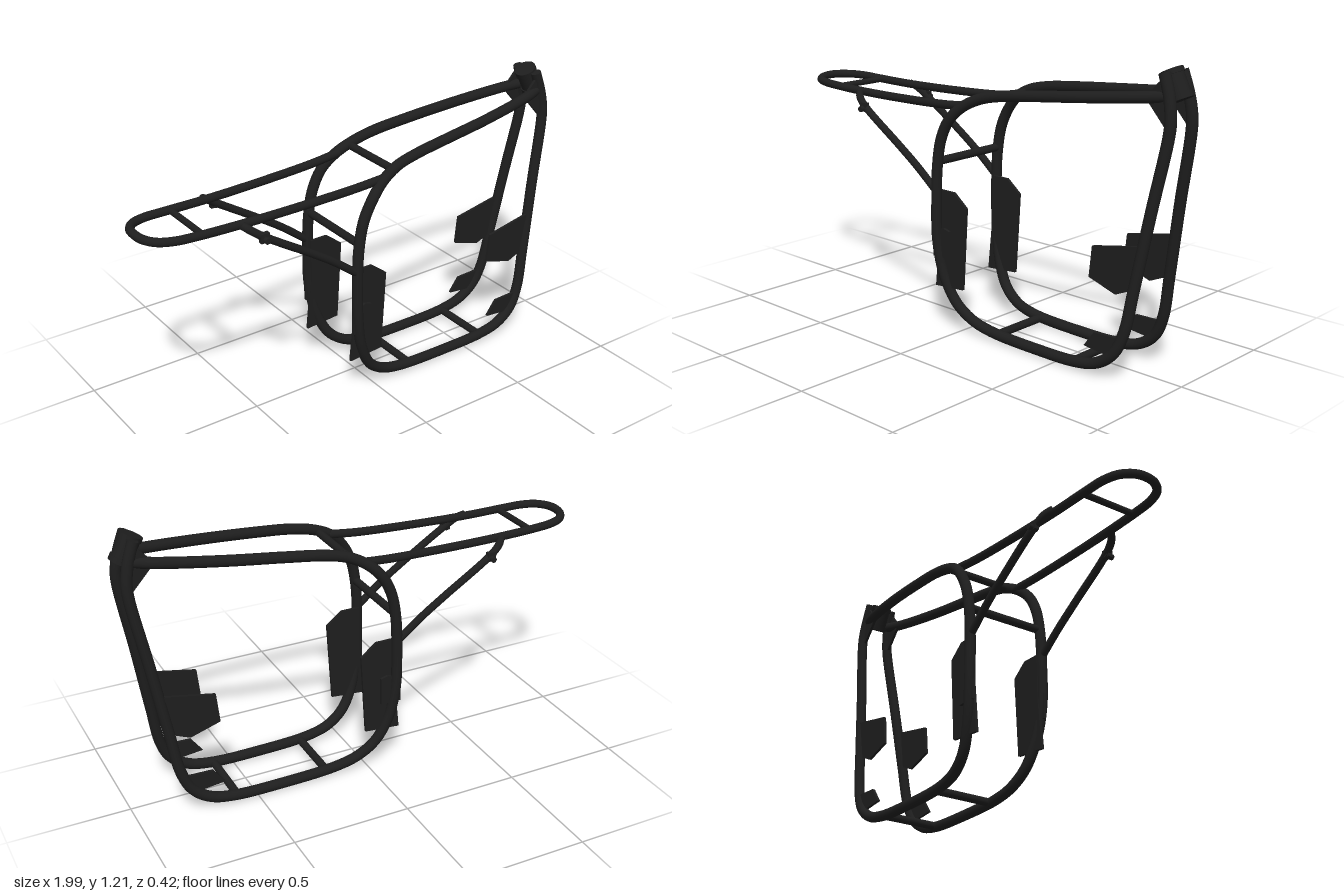
import * as THREE from 'three';

export function createModel() {
  const model = new THREE.Group();
  model.name = 'tubularFrame';
  const black = new THREE.MeshStandardMaterial({ color: 0x1e1e1e });
  black.name = 'blackPaint';

  const add = (name, geometry, parent = model) => {
    const mesh = new THREE.Mesh(geometry, black);
    mesh.name = name;
    parent.add(mesh);
    return mesh;
  };
  const V = (p) => new THREE.Vector3(...p);

  // Bent tube through points, with flat end caps
  function tube(name, points, radius, segments = 60) {
    const group = new THREE.Group();
    group.name = name;
    model.add(group);
    const curve = new THREE.CatmullRomCurve3(points.map(V), false, 'centripetal');
    add(name + 'Pipe', new THREE.TubeGeometry(curve, segments, radius, 14), group);
    for (const t of [0, 1]) {
      const cap = add(name + 'Cap', new THREE.CircleGeometry(radius, 14), group);
      cap.position.copy(curve.getPoint(t));
      const dir = curve.getTangent(t).multiplyScalar(t ? 1 : -1);
      cap.quaternion.setFromUnitVectors(new THREE.Vector3(0, 0, 1), dir);
    }
  }

  // Straight round bar between two points
  function bar(name, a, b, r, r2 = r) {
    const from = V(a), to = V(b), dir = to.clone().sub(from);
    const mesh = add(name, new THREE.CylinderGeometry(r2, r, dir.length(), 20));
    mesh.position.copy(from).add(to).multiplyScalar(0.5);
    mesh.quaternion.setFromUnitVectors(new THREE.Vector3(0, 1, 0), dir.normalize());
  }

  // Flat plate in the x-y plane, centred on z
  function plate(name, outline, z, depth = 0.012) {
    const shape = new THREE.Shape(outline.map(([x, y]) => new THREE.Vector2(x, y)));
    const geometry = new THREE.ExtrudeGeometry(shape, { depth, bevelEnabled: false });
    return add(name, geometry.translate(0, 0, z - depth / 2));
  }

  for (const [side, s] of [['front', 1], ['back', -1]]) {
    // Main cradle: top rail, rear upright, floor rail and down tube
    tube(side + 'CradleTube', [
      [0.945, 1.105, 0.045], [0.85, 1.093, 0.075], [0.6, 1.066, 0.115],
      [0.35, 1.04, 0.137], [0.2, 1.021, 0.147], [0.1, 0.997, 0.152],
      [0.02, 0.957, 0.165], [-0.04, 0.9, 0.178], [-0.085, 0.815, 0.18],
      [-0.108, 0.7, 0.18], [-0.115, 0.55, 0.18], [-0.112, 0.38, 0.18],
      [-0.088, 0.24, 0.169], [-0.035, 0.125, 0.153], [0.04, 0.065, 0.142],
      [0.14, 0.037, 0.137], [0.4, 0.026, 0.135], [0.6, 0.032, 0.135],
      [0.7, 0.055, 0.135], [0.775, 0.11, 0.132], [0.818, 0.2, 0.125],
      [0.85, 0.38, 0.112], [0.9, 0.68, 0.09], [0.95, 0.96, 0.07],
      [0.953, 1.02, 0.066], [0.94, 1.1, 0.06], [0.912, 1.185, 0.055],
    ].map(([x, y, z]) => [x, y, z * s]), 0.0225, 200);

    // Diagonal tail strut
    tube(side + 'TailStrut', [
      [-0.615, 0.938, 0.145], [-0.595, 0.922, 0.166], [-0.555, 0.892, 0.179],
      [-0.33, 0.748, 0.183], [-0.23, 0.68, 0.182], [-0.115, 0.59, 0.18],
    ].map(([x, y, z]) => [x, y, z * s]), 0.016, 40);
    const lug = add(side + 'StrutLug', new THREE.BoxGeometry(0.038, 0.038, 0.02));
    lug.position.set(-0.545, 0.884, 0.185 * s);
    bar(side + 'StrutPeg', [-0.545, 0.877, 0.17 * s], [-0.545, 0.877, 0.211 * s], 0.012);

    // Mounting plates
    plate(side + 'RearPlate', [[-0.138, 0.175], [0.018, 0.188], [0.04, 0.54],
      [-0.03, 0.595], [-0.115, 0.595], [-0.115, 0.4]], 0.16 * s);
    plate(side + 'RearPlateTab', [[-0.135, 0.31], [-0.045, 0.31], [-0.045, 0.43],
      [-0.075, 0.438], [-0.135, 0.42]], 0.176 * s);
    plate(side + 'EngineMountPlate', [[0.637, 0.38], [0.765, 0.34], [0.838, 0.372],
      [0.865, 0.548], [0.65, 0.506]], 0.108 * s);
    plate(side + 'LowerMountPlate', [[0.637, 0.11], [0.765, 0.097], [0.82, 0.18],
      [0.685, 0.175]], 0.13 * s);

    // Steering head gusset
    plate(side + 'HeadGusset', [[0.842, 1.09], [0.945, 0.975], [0.945, 1.1],
      [0.9, 1.155]], 0.064 * s);
  }

  // Seat loop around the tail
  const half = [
    [0.03, 0.962, 0.156], [-0.1, 0.95, 0.149], [-0.35, 0.94, 0.14],
    [-0.6, 0.936, 0.132], [-0.8, 0.939, 0.126], [-0.88, 0.942, 0.119],
    [-0.94, 0.945, 0.095], [-0.974, 0.948, 0.05],
  ];
  tube('seatLoop', [...half, [-0.982, 0.95, 0],
    ...half.slice().reverse().map(([x, y, z]) => [x, y, -z])], 0.0175, 140);

  // Cross bars: x, y, half length, radius
  const bars = [
    ['tailCrossBar', -0.77, 0.939, 0.125, 0.013],
    ['uprightCrossBar', -0.105, 0.718, 0.18, 0.017],
    ['topCrossBar', 0.08, 0.985, 0.152, 0.016],
    ['rearFloorCrossBar', 0.19, 0.033, 0.136, 0.017],
    ['frontFloorCrossBar', 0.59, 0.032, 0.135, 0.017],
  ];
  for (const [name, x, y, z, r] of bars) bar(name, [x, y, -z], [x, y, z], r);

  // Steering head with flared collars
  bar('steeringHead', [0.95, 1.09, 0], [0.901, 1.187, 0], 0.042);
  bar('upperHeadCollar', [0.909, 1.171, 0], [0.9, 1.189, 0], 0.046);
  bar('lowerHeadCollar', [0.952, 1.086, 0], [0.942, 1.106, 0], 0.047);

  return model;
}
